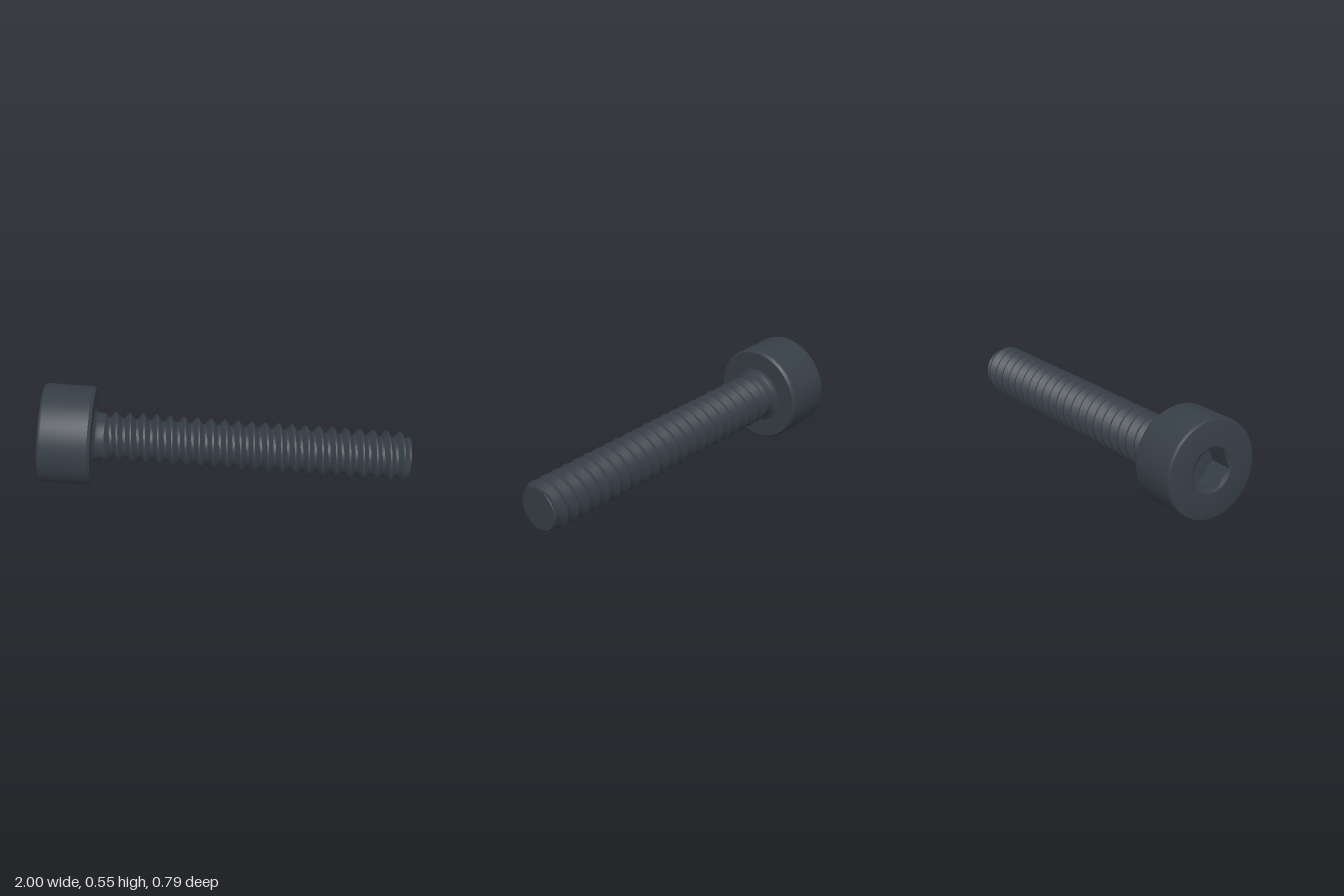
import * as THREE from 'three';
import { toCreasedNormals } from 'three/addons/utils/BufferGeometryUtils.js';

const SEG = 64;
const HEAD_R = 0.265, HEAD_L = 0.275, LENGTH = 1.964;
const CREST = 0.138, ROOT = 0.106, TIP_R = 0.115, PITCH = 0.0725;
const THREAD_START = 0.335;

// Surface around the local y axis; at(row, angle) returns [radius, height]
function ringSurface(rows, at, crease = 0.5) {
  const pos = [], index = [];
  for (let i = 0; i < rows; i++) {
    for (let j = 0; j <= SEG; j++) {
      const a = (j / SEG) * Math.PI * 2;
      const [r, y] = at(i, a);
      pos.push(Math.sin(a) * r, y, Math.cos(a) * r);
    }
  }
  for (let i = 0; i < rows - 1; i++) {
    for (let j = 0; j < SEG; j++) {
      const a = i * (SEG + 1) + j, b = a + 1, c = a + SEG + 1, d = c + 1;
      index.push(a, b, c, b, d, c);
    }
  }
  const g = new THREE.BufferGeometry();
  g.setAttribute('position', new THREE.Float32BufferAttribute(pos, 3));
  g.setIndex(index);
  return toCreasedNormals(g, crease);
}

const lathe = (profile) => ringSurface(profile.length, (i) => profile[i]);

// Hexagonal recess with a small round countersink, from floor centre to rim
function socketGeometry() {
  const hexR = 0.116, rimR = 0.121, depth = 0.135;
  const hex = (a) => {
    const t = (a % (Math.PI / 3)) - Math.PI / 6;
    return (hexR * Math.cos(Math.PI / 6)) / Math.cos(t);
  };
  return ringSurface(4, (i, a) => {
    const r = hex(a);
    return [[0, depth], [r, depth], [r, (rimR - r) * 0.6], [rimR, 0]][i];
  });
}

// Helical thread with flat crests and roots, cut off by a chamfer at the tip
function threadGeometry() {
  const steps = [0, 0.12, 0.3, 0.48, 0.66, 0.83];
  const turns = Math.ceil((LENGTH - THREAD_START) / PITCH) + 2;
  const lerp = THREE.MathUtils.lerp;
  const radius = (f) => {
    if (f < 0.12) return CREST;
    if (f < 0.48) return lerp(CREST, ROOT, (f - 0.12) / 0.36);
    if (f < 0.66) return ROOT;
    return lerp(ROOT, CREST, (f - 0.66) / 0.34);
  };
  return ringSurface(turns * steps.length, (i, a) => {
    const turn = a / (Math.PI * 2);
    const along = Math.floor(i / steps.length) - 1 + steps[i % steps.length] + turn;
    const y = THREE.MathUtils.clamp(THREAD_START + PITCH * along, THREAD_START, LENGTH);
    const phase = (y - THREAD_START) / PITCH - turn;
    let r = radius(phase - Math.floor(phase));
    const left = LENGTH - y;
    r = Math.min(r, TIP_R + left * 0.6);
    r = Math.max(r, TIP_R - left * 0.4);
    return [r, y];
  }, 0.45);
}

export function createModel() {
  const steel = new THREE.MeshStandardMaterial({ color: 0x363e46, side: THREE.DoubleSide });
  steel.name = 'blackened steel';

  const bolt = new THREE.Group();
  bolt.name = 'socketHeadBolt';
  const add = (name, geometry) => {
    const m = new THREE.Mesh(geometry, steel);
    m.name = name;
    bolt.add(m);
  };

  // Head: back face around the socket, edges, side wall and bearing face
  add('head', lathe([
    [0.121, 0], [0.25, 0], [0.258, 0.003], [0.263, 0.009], [HEAD_R, 0.018],
    [HEAD_R, HEAD_L - 0.016], [0.255, HEAD_L], [0.155, HEAD_L],
  ]));
  add('hexSocket', socketGeometry());

  // Fillet between head and shank
  add('neck', lathe([
    [0.157, HEAD_L], [0.143, HEAD_L + 0.005], [0.132, HEAD_L + 0.015],
    [0.127, HEAD_L + 0.03], [0.126, THREAD_START], [0.1, THREAD_START + 0.02],
  ]));

  add('threadedShank', threadGeometry());
  add('tipFace', lathe([[TIP_R, LENGTH], [0, LENGTH]]));

  // Lay the bolt down along its tilted axis
  const axis = new THREE.Vector3(0.9757, -0.0723, 0.2067).normalize();
  bolt.quaternion.setFromUnitVectors(new THREE.Vector3(0, 1, 0), axis);
  bolt.position.set(-0.941, 0.289, -0.14);

  const model = new THREE.Group();
  model.name = 'bolt';
  model.add(bolt);
  return model;
}
